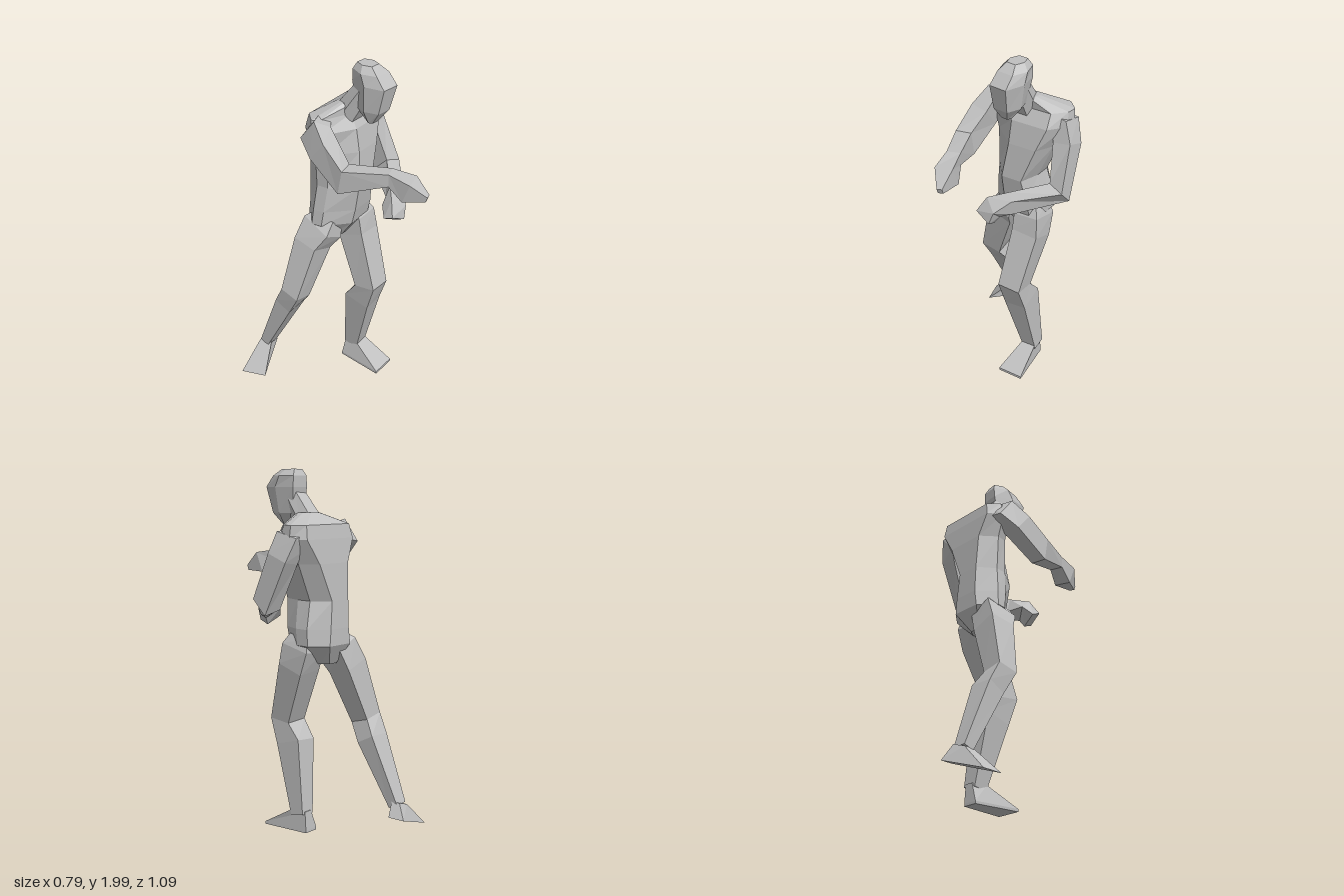
import * as THREE from 'three';

const BOX = [[1, 1], [1, -1], [-1, -1], [-1, 1]];
const HEX = [[1, 0], [0.6, -1], [-0.6, -1], [-1, 0], [-0.62, 1], [0.62, 1]];
const FOOT = [[1, 1], [0.58, -1], [-0.58, -1], [-1, 1]];
const TRUNK = [[1, -0.35], [0.5, -1], [-0.5, -1], [-1, -0.35],
  [-0.95, 0.1], [-0.2, 1], [0.68, 1], [0.97, 0.25]];

// Faceted skin over cross-sections. Each station is [x, y, z, width, depth, back],
// where `back` optionally widens the rear edge; sections follow the path, or stay
// square to `axis` when one is given.
function loft(stations, shape, front, axis) {
  const centres = stations.map(s => new THREE.Vector3(s[0], s[1], s[2]));
  const last = stations.length - 1;
  const rings = stations.map(([, , , width, depth, back = 1], i) => {
    const t = axis
      ? new THREE.Vector3(...axis).normalize()
      : centres[Math.min(i + 1, last)].clone().sub(centres[Math.max(i - 1, 0)]).normalize();
    const side = t.clone().cross(new THREE.Vector3(...front)).normalize();
    const fore = side.clone().cross(t);
    return shape.map(([u, v]) => centres[i].clone()
      .addScaledVector(side, u * (v === -1 ? back : 1) * width / 2)
      .addScaledVector(fore, v * depth / 2));
  });
  const pos = [];
  const tri = (...pts) => pts.forEach(p => pos.push(p.x, p.y, p.z));
  const n = shape.length;
  for (let i = 0; i < last; i++) {
    for (let j = 0; j < n; j++) {
      const k = (j + 1) % n;
      tri(rings[i][j], rings[i][k], rings[i + 1][k]);
      tri(rings[i][j], rings[i + 1][k], rings[i + 1][j]);
    }
  }
  for (let j = 1; j < n - 1; j++) {
    tri(rings[0][0], rings[0][j + 1], rings[0][j]);
    tri(rings[last][0], rings[last][j], rings[last][j + 1]);
  }
  const geo = new THREE.BufferGeometry();
  geo.setAttribute('position', new THREE.Float32BufferAttribute(pos, 3));
  geo.computeVertexNormals();
  return geo;
}

export function createModel() {
  const model = new THREE.Group();
  model.name = 'figure';
  const grey = new THREE.MeshStandardMaterial({ color: 0xbfbfbf });
  grey.name = 'grey';
  const UP = [0, 1, 0], X = [1, 0, 0], Z = [0, 0, 1];

  const add = (name, ...args) => {
    const mesh = new THREE.Mesh(loft(...args), grey);
    mesh.name = name;
    model.add(mesh);
  };

  // Trunk, from crotch to base of neck
  add('torso', [
    [0.04, 0.95, -0.12, 0.12, 0.12],
    [0.05, 1.06, -0.11, 0.34, 0.26],
    [0.053, 1.15, -0.1, 0.33, 0.28, 0.9],
    [0.045, 1.3, -0.085, 0.27, 0.30],
    [0.085, 1.5, -0.09, 0.37, 0.27, 1.25],
    [0.10, 1.63, -0.095, 0.48, 0.235, 1.55],
    [0.105, 1.705, -0.11, 0.46, 0.18, 1.5],
    [0.095, 1.765, -0.055, 0.13, 0.09],
  ], TRUNK, Z, UP);

  add('neck', [
    [0.09, 1.70, -0.055, 0.14, 0.13],
    [0.10, 1.86, 0.05, 0.12, 0.10],
  ], HEX, Z);

  // Head, bowed and turned a little to its right
  add('head', [
    [0.075, 1.69, 0.105, 0.06, 0.04],
    [0.09, 1.76, 0.095, 0.14, 0.16],
    [0.10, 1.90, 0.10, 0.165, 0.22],
    [0.105, 1.96, 0.072, 0.155, 0.165],
    [0.105, 1.995, 0.055, 0.09, 0.10],
  ], HEX, [-0.12, 0, 1], UP);

  // Arms, from shoulder through elbow and wrist to fingertips
  add('rightArm', [
    [-0.03, 1.66, -0.14, 0.10, 0.06],
    [-0.13, 1.645, -0.11, 0.15, 0.10],
    [-0.16, 1.58, -0.035, 0.14, 0.105],
    [-0.185, 1.465, 0.11, 0.14, 0.09],
    [-0.095, 1.51, 0.34, 0.07, 0.075],
    [-0.07, 1.465, 0.44, 0.12, 0.10],
    [-0.045, 1.43, 0.535, 0.03, 0.03],
  ], BOX, X);
  add('leftArm', [
    [0.20, 1.65, -0.11, 0.10, 0.06],
    [0.302, 1.62, -0.105, 0.14, 0.10],
    [0.33, 1.53, -0.08, 0.13, 0.10],
    [0.35, 1.285, 0.02, 0.12, 0.095],
    [0.165, 1.25, 0.20, 0.09, 0.075],
    [0.085, 1.225, 0.25, 0.08, 0.10],
    [0.05, 1.165, 0.275, 0.06, 0.10],
  ], BOX, X);

  // Legs, from hip through knee and calf to ankle
  add('rightLeg', [
    [-0.02, 1.08, -0.10, 0.10, 0.12],
    [-0.055, 1.02, -0.13, 0.145, 0.19],
    [-0.10, 0.92, -0.17, 0.155, 0.15],
    [-0.205, 0.615, -0.22, 0.12, 0.12],
    [-0.182, 0.51, -0.285, 0.135, 0.11],
    [-0.195, 0.15, -0.455, 0.08, 0.06],
  ], BOX, Z);
  add('leftLeg', [
    [0.14, 1.10, -0.07, 0.11, 0.13],
    [0.148, 1.04, -0.06, 0.145, 0.18],
    [0.148, 0.93, -0.03, 0.155, 0.16],
    [0.115, 0.62, 0.085, 0.135, 0.13],
    [0.125, 0.50, 0.02, 0.13, 0.16],
    [0.158, 0.10, -0.058, 0.085, 0.085],
  ], BOX, Z);

  // Feet, the right one trailing with its heel raised
  add('rightFoot', [
    [-0.25, 0.052, -0.465, 0.155, 0.275],
    [-0.195, 0.165, -0.46, 0.08, 0.08],
  ], FOOT, [-0.253, -0.085, 0.07], [-0.31, 0.95, 0]);
  add('leftFoot', [
    [0.14, 0.005, 0.03, 0.15, 0.28],
    [0.14, 0.02, 0.03, 0.15, 0.28],
    [0.158, 0.125, -0.058, 0.085, 0.09],
  ], FOOT, Z, UP);

  return model;
}
